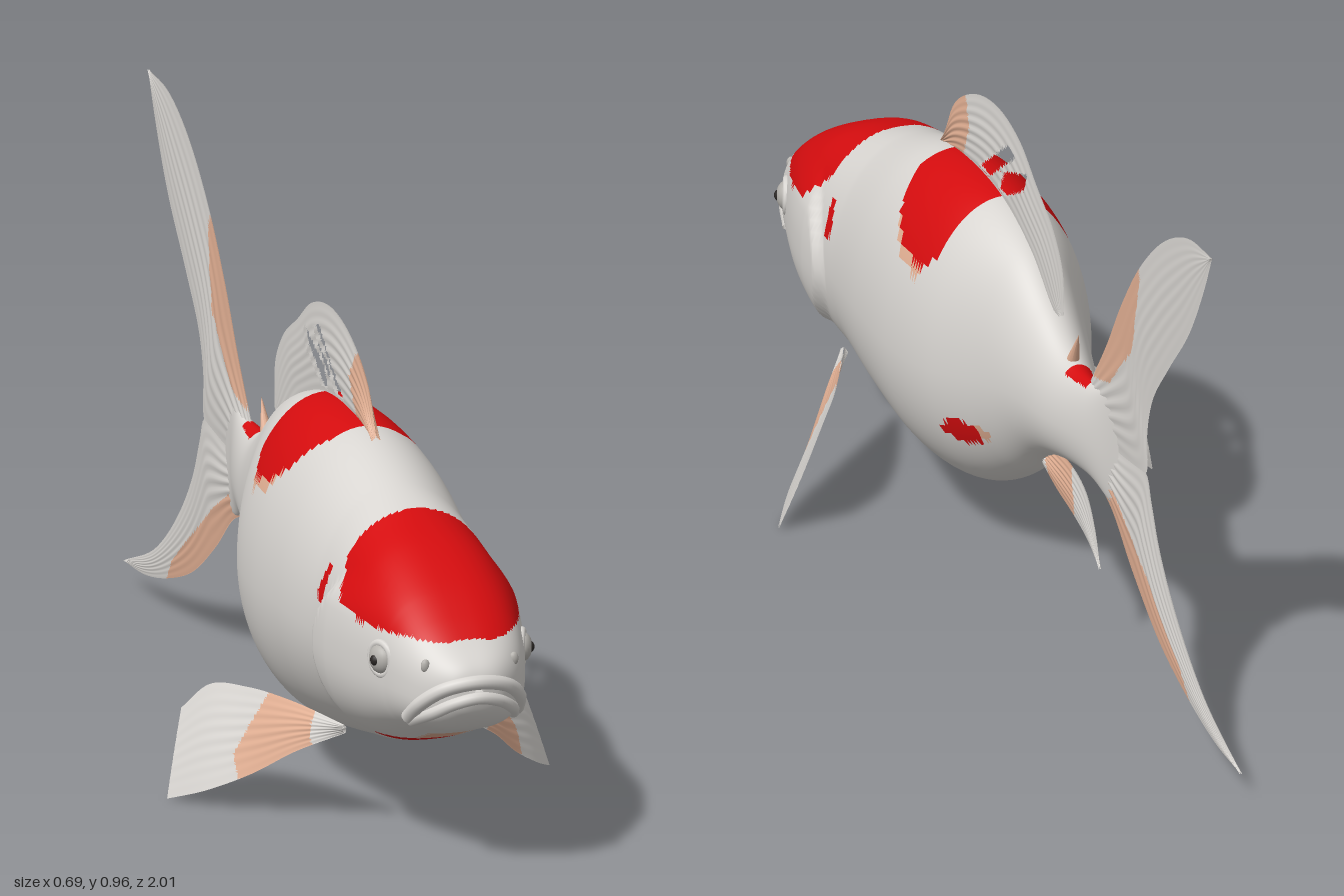
import * as THREE from 'three';

const mat = (name, color) => new THREE.MeshStandardMaterial({ name, color, side: THREE.DoubleSide });
const clamp01 = (v) => Math.min(1, Math.max(0, v));

// Even-odd test of a point against a (z, y) polygon
function inside(poly, z, y) {
  let hit = false;
  for (let i = 0, j = poly.length - 1; i < poly.length; j = i++) {
    const [zi, yi] = poly[i], [zj, yj] = poly[j];
    if ((yi > y) !== (yj > y) && z < ((zj - zi) * (y - yi)) / (yj - yi) + zi) hit = !hit;
  }
  return hit;
}

// Indexed geometry whose triangles are grouped by paint(x, y, z): material index, or -1 for a hole
function paintedGeometry(pos, tris, paint) {
  const buckets = [[], [], []];
  for (const t of tris) {
    const c = [0, 1, 2].map((k) => (pos[t[0] * 3 + k] + pos[t[1] * 3 + k] + pos[t[2] * 3 + k]) / 3);
    const m = paint(...c);
    if (m >= 0) buckets[m].push(...t);
  }
  const g = new THREE.BufferGeometry();
  g.setAttribute('position', new THREE.Float32BufferAttribute(pos, 3));
  g.setIndex(buckets.flat());
  let start = 0;
  buckets.forEach((b, i) => { if (b.length) g.addGroup(start, b.length, i); start += b.length; });
  g.computeVertexNormals();
  return g;
}

// Body stations: z, top, bottom, half width
const STATIONS = [
  [1.0, 0.35, 0.335, 0.008], [0.985, 0.385, 0.3, 0.05], [0.95, 0.415, 0.268, 0.088],
  [0.9, 0.455, 0.25, 0.115], [0.83, 0.5, 0.226, 0.134], [0.74, 0.542, 0.193, 0.15],
  [0.65, 0.57, 0.168, 0.157], [0.55, 0.6, 0.147, 0.16], [0.4, 0.645, 0.12, 0.172],
  [0.25, 0.66, 0.105, 0.174], [0.12, 0.65, 0.125, 0.155], [0, 0.61, 0.19, 0.105],
  [-0.1, 0.545, 0.265, 0.076], [-0.2, 0.49, 0.3, 0.053], [-0.3, 0.485, 0.31, 0.03],
  [-0.37, 0.5, 0.295, 0.011], [-0.42, 0.5, 0.3, 0.002],
];
const heights = new THREE.CatmullRomCurve3(STATIONS.map((s) => new THREE.Vector3(s[0], s[1], s[2])), false, 'catmullrom', 0.5);
const widths = new THREE.CatmullRomCurve3(STATIONS.map((s) => new THREE.Vector3(s[0], s[3], 0)), false, 'catmullrom', 0.5);

function section(t) {
  const h = heights.getPoint(t), w = widths.getPoint(t).y;
  return { z: h.x, top: h.y, bottom: h.z, w, mid: h.z + (h.y - h.z) * 0.45, n: 2 + 0.6 * clamp01((h.x - 0.55) / 0.3) };
}

// Gill covers stand proud of the flank behind the cheek
function gillBulge(z, y) {
  const rear = 0.585 + 4.5 * (y - 0.34) ** 2;
  return 0.1 * clamp01((z - rear) / 0.012) * clamp01((0.86 - z) / 0.2) * clamp01((0.16 - Math.abs(y - 0.33)) / 0.05);
}

// Point of the skin seen from the front at (x, y)
function onSkin(x, y) {
  for (let t = 0; t < 0.6; t += 0.001) {
    const s = section(t), dy = y - s.mid, r = dy > 0 ? s.top - s.mid : s.mid - s.bottom;
    if (Math.abs(x / s.w) ** s.n + Math.abs(dy / r) ** s.n <= 1) return new THREE.Vector3(x, y, s.z);
  }
  return new THREE.Vector3(x, y, 0.8);
}

const RED_PATCHES = [
  [[0.94, 0.42], [0.9, 0.6], [0.63, 0.62], [0.635, 0.5], [0.7, 0.44], [0.78, 0.425], [0.9, 0.425]],
  [[0.37, 0.68], [0.14, 0.68], [0.14, 0.56], [0.17, 0.525], [0.24, 0.53], [0.31, 0.57], [0.36, 0.63]],
  [[0.6, 0.475], [0.585, 0.475], [0.565, 0.42], [0.595, 0.405]],
  [[0.1, 0.25], [0.07, 0.285], [0.015, 0.285], [0.01, 0.255], [0.05, 0.24]],
  [[-0.21, 0.52], [-0.22, 0.472], [-0.29, 0.475], [-0.3, 0.52]],
  [[0.77, 0.15], [0.77, 0.203], [0.7, 0.203], [0.69, 0.15]],
];
const PEACH_PATCHES = [
  [[0.015, 0.26], [0.015, 0.288], [-0.015, 0.285], [-0.01, 0.265]],
  [[0.31, 0.57], [0.24, 0.53], [0.17, 0.525], [0.18, 0.505], [0.25, 0.515]],
];

function bodyPaint(x, y, z) {
  if (RED_PATCHES.some((p) => inside(p, z, y))) return 1;
  if (PEACH_PATCHES.some((p) => inside(p, z, y))) return 2;
  return z > 0.77 && z < 0.85 && y < 0.235 && Math.abs(x) < 0.04 ? 2 : 0;
}

function bodyGeometry() {
  const R = 260, S = 80, pos = [], tris = [];
  for (let i = 0; i <= R; i++) {
    const s = section(i / R);
    for (let j = 0; j < S; j++) {
      const a = (j / S) * Math.PI * 2, c = Math.cos(a), n = Math.sin(a);
      const y = s.mid + Math.sign(n) * Math.abs(n) ** (2 / s.n) * (n > 0 ? s.top - s.mid : s.mid - s.bottom);
      const x = Math.sign(c) * Math.abs(c) ** (2 / s.n) * s.w * (1 + gillBulge(s.z, y));
      pos.push(x, y, s.z);
      if (i === R) continue;
      const p = i * S + j, q = i * S + ((j + 1) % S);
      tris.push([p, p + S, q], [q, p + S, q + S]);
    }
  }
  return paintedGeometry(pos, tris, bodyPaint);
}

// Thin two-sided fin ruled between two edge curves of [x, y, z] points
function finGeometry(edgeA, edgeB, paint, thick = 0.006) {
  const curve = (pts) => new THREE.CatmullRomCurve3(pts.map((p) => new THREE.Vector3(...p)));
  const A = curve(edgeA), B = curve(edgeB), U = 70, V = 44, pos = [], tris = [];
  const o = A.getPoint(0);
  const normal = A.getPoint(0.6).sub(o).cross(B.getPoint(0.6).sub(o)).normalize();
  for (const side of [1, -1]) {
    const base = pos.length / 3;
    for (let i = 0; i <= U; i++) {
      const a = A.getPointAt(i / U), b = B.getPointAt(i / U);
      for (let j = 0; j <= V; j++) {
        const v = j / V, ray = 1 + 0.25 * Math.sin(v * 50);
        const p = a.clone().lerp(b, v);
        p.addScaledVector(normal, side * (0.0008 + thick * (1 - (0.8 * i) / U) * Math.sin(Math.PI * v) * ray));
        pos.push(p.x, p.y, p.z);
        if (i === U || j === V) continue;
        const k = base + i * (V + 1) + j, l = k + V + 1;
        if (side > 0) tris.push([k, l, k + 1], [k + 1, l, l + 1]);
        else tris.push([k, k + 1, l], [k + 1, l + 1, l]);
      }
    }
  }
  return paintedGeometry(pos, tris, paint);
}

const flat = (pts) => pts.map(([z, y]) => [0, y, z]);
const patch = (peach, holes = []) => (x, y, z) =>
  holes.some((h) => inside(h, z, y)) ? -1 : inside(peach, z, y) ? 2 : 0;

export function createModel() {
  const fish = new THREE.Group();
  fish.name = 'fish';
  const white = mat('pearl white', 0xd8d5d1), red = mat('scarlet', 0xd40c0e), peach = mat('peach', 0xe0ae92);
  const eyeGrey = mat('eye grey', 0xb5b2ad), dark = mat('pupil dark', 0x2c2826);
  const skin = [white, red, peach];
  const add = (name, geometry, material = skin, parent = fish) => {
    const m = new THREE.Mesh(geometry, material);
    m.name = name;
    parent.add(m);
    return m;
  };

  add('body', bodyGeometry());

  // Tail lobes, sharing the middle line up to the fork
  const middle = [[-0.28, 0.4], [-0.42, 0.405], [-0.545, 0.42]];
  add('upperTailLobe', finGeometry(
    flat([[-0.28, 0.48], [-0.36, 0.585], [-0.43, 0.69], [-0.52, 0.8], [-0.64, 0.9], [-0.75, 0.95], [-0.86, 0.96]]),
    flat([...middle, [-0.55, 0.5], [-0.575, 0.57], [-0.65, 0.66], [-0.75, 0.77], [-0.82, 0.88], [-0.86, 0.96]]),
    patch([[-0.3, 0.5], [-0.38, 0.66], [-0.5, 0.82], [-0.52, 0.77], [-0.49, 0.63], [-0.38, 0.52]])));
  add('lowerTailLobe', finGeometry(
    flat([[-0.28, 0.315], [-0.38, 0.285], [-0.48, 0.21], [-0.61, 0.13], [-0.75, 0.08], [-0.88, 0.052], [-1, 0.045]]),
    flat([...middle, [-0.57, 0.375], [-0.61, 0.3], [-0.69, 0.21], [-0.82, 0.115], [-1, 0.045]]),
    patch([[-0.32, 0.29], [-0.36, 0.345], [-0.48, 0.28], [-0.6, 0.2], [-0.72, 0.12], [-0.77, 0.06], [-0.5, 0.13]])));

  // Dorsal fin with two slits between its rays
  add('dorsalFin', finGeometry(
    flat([[0.42, 0.635], [0.3, 0.645], [0.15, 0.64], [0, 0.595], [-0.08, 0.545], [-0.13, 0.54]]),
    flat([[0.42, 0.645], [0.37, 0.73], [0.27, 0.79], [0.16, 0.81], [0.06, 0.79], [-0.02, 0.74], [-0.1, 0.69], [-0.145, 0.63], [-0.15, 0.55]]),
    patch([[0.43, 0.62], [0.39, 0.75], [0.32, 0.78], [0.285, 0.72], [0.33, 0.64]], [
      [[0.25, 0.665], [0.11, 0.765], [0.07, 0.755], [0.2, 0.665]],
      [[0.16, 0.66], [0.14, 0.7], [0.02, 0.745], [0.03, 0.71], [0.12, 0.66]],
    ])));

  // Small spine behind the dorsal fin
  const spine = add('backSpine', new THREE.ConeGeometry(0.012, 0.07, 10), peach);
  spine.position.set(0, 0.515, -0.21);
  spine.rotation.x = -0.45;

  add('analFin', finGeometry(
    flat([[-0.05, 0.23], [-0.12, 0.21], [-0.2, 0.195], [-0.27, 0.175], [-0.325, 0.145]]),
    flat([[-0.08, 0.28], [-0.19, 0.283], [-0.26, 0.26], [-0.3, 0.21], [-0.325, 0.145]]),
    patch([[-0.08, 0.15], [-0.08, 0.32], [-0.18, 0.32], [-0.21, 0.23], [-0.2, 0.15]])));

  // Paired parts
  const pectoral = finGeometry(
    [[0.115, 0.19, 0.6], [0.17, 0.205, 0.48], [0.22, 0.208, 0.38], [0.265, 0.198, 0.31], [0.305, 0.15, 0.275]],
    [[0.115, 0.175, 0.6], [0.18, 0.13, 0.53], [0.24, 0.075, 0.46], [0.3, 0.032, 0.39], [0.345, 0.003, 0.32]],
    patch([[0.52, 0.23], [0.43, 0.23], [0.415, 0.1], [0.46, 0.04], [0.56, 0.13]]), 0.005);
  for (const [side, sx] of [['left', 1], ['right', -1]]) {
    add(side + 'PectoralFin', pectoral).scale.x = sx;
    const eye = new THREE.Group();
    eye.name = side + 'Eye';
    eye.position.set(sx * 0.127, 0.375, 0.845);
    eye.rotation.y = sx * 1.2;
    add('eyeball', new THREE.SphereGeometry(0.026, 24, 16), eyeGrey, eye).scale.z = 0.7;
    add('eyelid', new THREE.TorusGeometry(0.028, 0.007, 10, 28), white, eye);
    add('pupil', new THREE.SphereGeometry(0.011, 16, 10), dark, eye).position.z = 0.011;
    fish.add(eye);
    const nostril = add(side + 'Nostril', new THREE.SphereGeometry(0.012, 12, 8), eyeGrey);
    nostril.position.copy(onSkin(sx * 0.08, 0.385));
    nostril.scale.set(0.7, 1, 0.5);
  }

  // Down-turned lips laid on the snout
  const lip = (pts, r) => new THREE.TubeGeometry(new THREE.CatmullRomCurve3(
    [...pts.map(([x, y]) => onSkin(-x, y)), ...pts.slice(0, -1).reverse().map(([x, y]) => onSkin(x, y))]), 48, r, 10);
  add('upperLip', lip([[0.098, 0.285], [0.088, 0.32], [0.055, 0.35], [0, 0.362]], 0.013));
  add('lowerLip', lip([[0.092, 0.278], [0.07, 0.305], [0.04, 0.325], [0, 0.335]], 0.011));
  for (const n of ['upperLip', 'lowerLip']) fish.getObjectByName(n).material = white;

  return fish;
}
